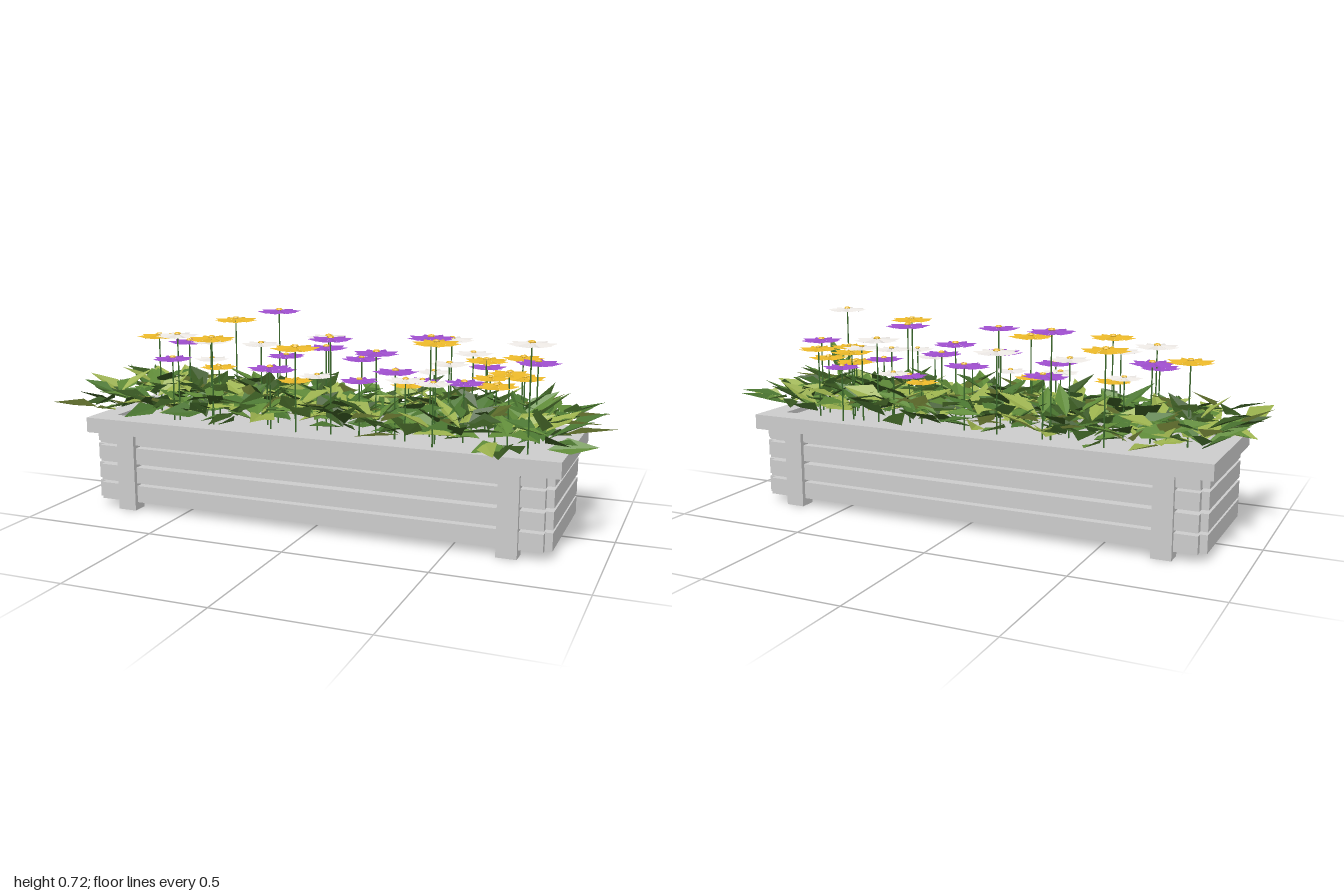
import * as THREE from 'three';
import { mergeGeometries } from 'three/addons/utils/BufferGeometryUtils.js';

const V = (x, y, z) => new THREE.Vector3(x, y, z);
const mat = (color, double = false) => new THREE.MeshStandardMaterial({
  color, flatShading: true, side: double ? THREE.DoubleSide : THREE.FrontSide });

// small seeded generator
let seed = 7;
const rnd = (a = 0, b = 1) => {
  seed = (seed * 16807) % 2147483647;
  return a + (b - a) * (seed / 2147483647);
};

// pointed four-facet blade from base to tip; rise lifts its two side corners
// and widest says how far along the blade they sit
function blade(base, tip, halfWidth, rise, widest, roll = 0) {
  const dir = tip.clone().sub(base);
  const len = dir.length();
  dir.divideScalar(len);
  const side = V(0, 1, 0).cross(dir).normalize().applyAxisAngle(dir, roll);
  const normal = dir.clone().cross(side);
  const at = (x, y, z) => base.clone().addScaledVector(side, x)
    .addScaledVector(normal, y).addScaledVector(dir, z * len);
  const M = at(0, 0, 0.5), L = at(-halfWidth, rise, widest), R = at(halfWidth, rise, widest);
  const geo = new THREE.BufferGeometry().setFromPoints(
    [base, M, R, base, L, M, M, tip, R, M, L, tip]);
  geo.computeVertexNormals();
  return geo;
}

export function createModel() {
  seed = 7;
  const model = new THREE.Group();
  const planter = new THREE.Group();
  planter.name = 'planter';
  model.add(planter);

  const wood = mat(0xcccccc);
  const board = (name, x0, x1, y0, y1, z0, z1) => {
    const mesh = new THREE.Mesh(new THREE.BoxGeometry(x1 - x0, y1 - y0, z1 - z0), wood);
    mesh.position.set((x0 + x1) / 2, (y0 + y1) / 2, (z0 + z1) / 2);
    mesh.name = name;
    planter.add(mesh);
  };

  // slatted walls, notched at the corners
  for (const [y0, y1] of [[0.028, 0.09], [0.1, 0.16], [0.172, 0.232], [0.243, 0.3]]) {
    board('frontSlat', -0.835, 0.81, y0, y1, 0.23, 0.275);
    board('backSlat', -0.835, 0.81, y0, y1, -0.22, -0.175);
    board('leftSlat', 0.79, 0.835, y0, y1, -0.195, 0.25);
    board('rightSlat', -0.86, -0.815, y0, y1, -0.195, 0.25);
  }
  // legs on the long walls
  for (const x of [-0.72, 0.695]) {
    board('frontLeg', x - 0.035, x + 0.035, 0, 0.3, 0.231, 0.291);
    board('backLeg', x - 0.035, x + 0.035, 0, 0.3, -0.236, -0.176);
  }
  // rim: two long boards with end boards between them
  board('frontRim', -0.88, 0.86, 0.28, 0.335, 0.21, 0.292);
  board('backRim', -0.88, 0.86, 0.28, 0.335, -0.237, -0.153);
  board('leftRim', 0.78, 0.86, 0.28, 0.335, -0.153, 0.21);
  board('rightRim', -0.88, -0.8, 0.28, 0.335, -0.153, 0.21);
  board('soil', -0.83, 0.805, 0.231, 0.318, -0.19, 0.245);

  // foliage: clumps of broad leaves fanning outward, merged per shade
  const shades = [0x36551f, 0x4a7530, 0x5f8a38, 0x9ab04c];
  const leaves = shades.map(() => []);
  const addLeaf = (base, tip, w) =>
    leaves[Math.floor(rnd(0, 4))].push(blade(base, tip, w, w * 0.3, 0.42, rnd(-0.5, 0.5)));
  const columns = 15, rows = 4, perClump = 9;
  for (let i = 0; i < columns; i++) for (let j = 0; j < rows; j++) {
    const cx = -0.78 + 1.54 * i / (columns - 1) + rnd(-0.03, 0.03);
    const cz = -0.13 + 0.315 * j / (rows - 1) + rnd(-0.02, 0.02);
    const turn = rnd(0, 6.28);
    for (let k = 0; k < perClump; k++) {
      const a = turn + k * Math.PI * 2 / perClump + rnd(-0.25, 0.25);
      const pitch = rnd(-0.1, 0.6), len = rnd(0.1, 0.17);
      const out = V(Math.cos(a) * Math.cos(pitch), Math.sin(pitch), Math.sin(a) * Math.cos(pitch));
      const base = V(cx, rnd(0.345, 0.415), cz).addScaledVector(out, 0.015);
      addLeaf(base, base.clone().addScaledVector(out, len), rnd(0.028, 0.045));
    }
  }
  // long leaves that break the outline
  for (const [bx, by, bz, tx, ty, tz] of [
    [-0.5, 0.36, -0.22, -0.51, 0.385, -0.4], [-0.86, 0.37, 0.25, -0.94, 0.41, 0.4],
    [-0.85, 0.38, 0.05, -1, 0.46, 0.08], [0.82, 0.37, 0.07, 1, 0.41, 0.1],
    [0.76, 0.45, 0.2, 0.88, 0.56, 0.31], [0.7, 0.45, 0.1, 0.8, 0.54, 0.22],
    [-0.82, 0.36, -0.16, -0.94, 0.44, -0.29], [-0.82, 0.38, -0.05, -0.96, 0.46, -0.14],
    [-0.83, 0.36, 0.15, -0.97, 0.41, 0.2], [0.78, 0.36, -0.12, 0.9, 0.42, -0.27],
    [0.8, 0.36, -0.03, 0.95, 0.43, -0.05], [0.8, 0.37, 0.2, 0.91, 0.4, 0.32],
    [0.6, 0.36, 0.23, 0.66, 0.35, 0.37], [0.68, 0.38, -0.16, 0.72, 0.47, -0.32],
    [0.1, 0.36, -0.18, 0.17, 0.42, -0.31], [-0.3, 0.36, 0.24, -0.3, 0.37, 0.35]]) {
    addLeaf(V(bx, by, bz), V(tx, ty, tz), 0.035);
  }
  const foliage = new THREE.Group();
  foliage.name = 'foliage';
  leaves.forEach((list, i) => {
    const mesh = new THREE.Mesh(mergeGeometries(list), mat(shades[i], true));
    mesh.name = 'leaves';
    foliage.add(mesh);
  });
  model.add(foliage);

  // flower head: eight broad ridged petals, unit radius, sides drooping
  const petals = [];
  for (let k = 0; k < 8; k++) {
    const a = k * Math.PI / 4;
    petals.push(blade(V(0, 0, 0), V(Math.cos(a), -0.06, Math.sin(a)), 0.26, -0.1, 0.64));
  }
  const headGeo = mergeGeometries(petals);
  const centreGeo = new THREE.SphereGeometry(1, 8, 4);
  const petalMat = { p: mat(0x9a4cc8, true), y: mat(0xe6b428, true), w: mat(0xe8e4e0, true) };
  const centreMat = mat(0xe8b830), stemMat = mat(0x3c6a2c);

  const flower = (kind, x, y, z, r) => {
    const g = new THREE.Group();
    g.name = 'flower';
    g.position.set(x, y, z);
    const head = new THREE.Mesh(headGeo, petalMat[kind]);
    head.name = 'petals';
    head.scale.setScalar(r);
    head.rotation.y = rnd(0, 0.8);
    const centre = new THREE.Mesh(centreGeo, centreMat);
    centre.name = 'flowerCentre';
    centre.scale.set(r * 0.16, r * 0.08, r * 0.16);
    const height = y - 0.318;
    const stem = new THREE.Mesh(new THREE.CylinderGeometry(0.0025, 0.003, height, 5), stemMat);
    stem.name = 'stem';
    stem.position.y = -height / 2;
    g.add(head, centre, stem);
    model.add(g);
  };

  // flowers by colour: x, y, z, radius
  const beds = {
    p: [[-0.3, 0.71, -0.15, 0.084], [-0.05, 0.605, -0.01, 0.08], [0.06, 0.56, -0.08, 0.075],
      [0.04, 0.665, 0.17, 0.08], [-0.19, 0.55, 0.17, 0.08], [0.17, 0.61, 0.07, 0.084],
      [0.26, 0.56, 0.13, 0.08], [0.36, 0.67, 0.05, 0.084], [0.49, 0.53, 0.09, 0.075],
      [-0.58, 0.56, 0.17, 0.075], [-0.6, 0.6, 0.01, 0.08], [0.72, 0.6, 0.01, 0.08],
      [0.5, 0.54, -0.19, 0.07], [-0.25, 0.55, -0.1, 0.075], [0.13, 0.52, 0.13, 0.07],
      [0.3, 0.5, -0.05, 0.07], [-0.22, 0.52, 0.04, 0.07]],
    y: [[-0.5, 0.665, -0.18, 0.086], [-0.73, 0.615, 0.01, 0.084], [-0.39, 0.65, 0.22, 0.086],
      [-0.07, 0.635, 0.22, 0.086], [0.42, 0.675, 0.19, 0.084], [0.52, 0.58, -0.09, 0.08],
      [0.64, 0.59, -0.13, 0.075], [0.59, 0.52, 0.05, 0.08], [0.67, 0.54, -0.02, 0.075],
      [0.25, 0.48, -0.05, 0.065], [-0.45, 0.52, 0.06, 0.07], [0.64, 0.57, 0.08, 0.075],
      [0.55, 0.53, -0.03, 0.07], [-0.12, 0.5, 0.11, 0.065]],
    w: [[-0.09, 0.625, -0.13, 0.084], [-0.32, 0.6, -0.03, 0.075], [-0.58, 0.64, 0.13, 0.08],
      [0.38, 0.64, -0.14, 0.084], [0.42, 0.58, 0.03, 0.07], [0.31, 0.54, 0.17, 0.07],
      [0.74, 0.695, 0.23, 0.08], [-0.24, 0.53, 0.09, 0.07], [-0.46, 0.62, 0.1, 0.075],
      [0.47, 0.6, -0.1, 0.07], [0.43, 0.55, 0.25, 0.065], [-0.04, 0.52, 0.1, 0.065],
      [-0.5, 0.54, 0.02, 0.065], [0.32, 0.52, -0.13, 0.065]],
  };
  for (const kind in beds) for (const spot of beds[kind]) flower(kind, ...spot);

  return model;
}
